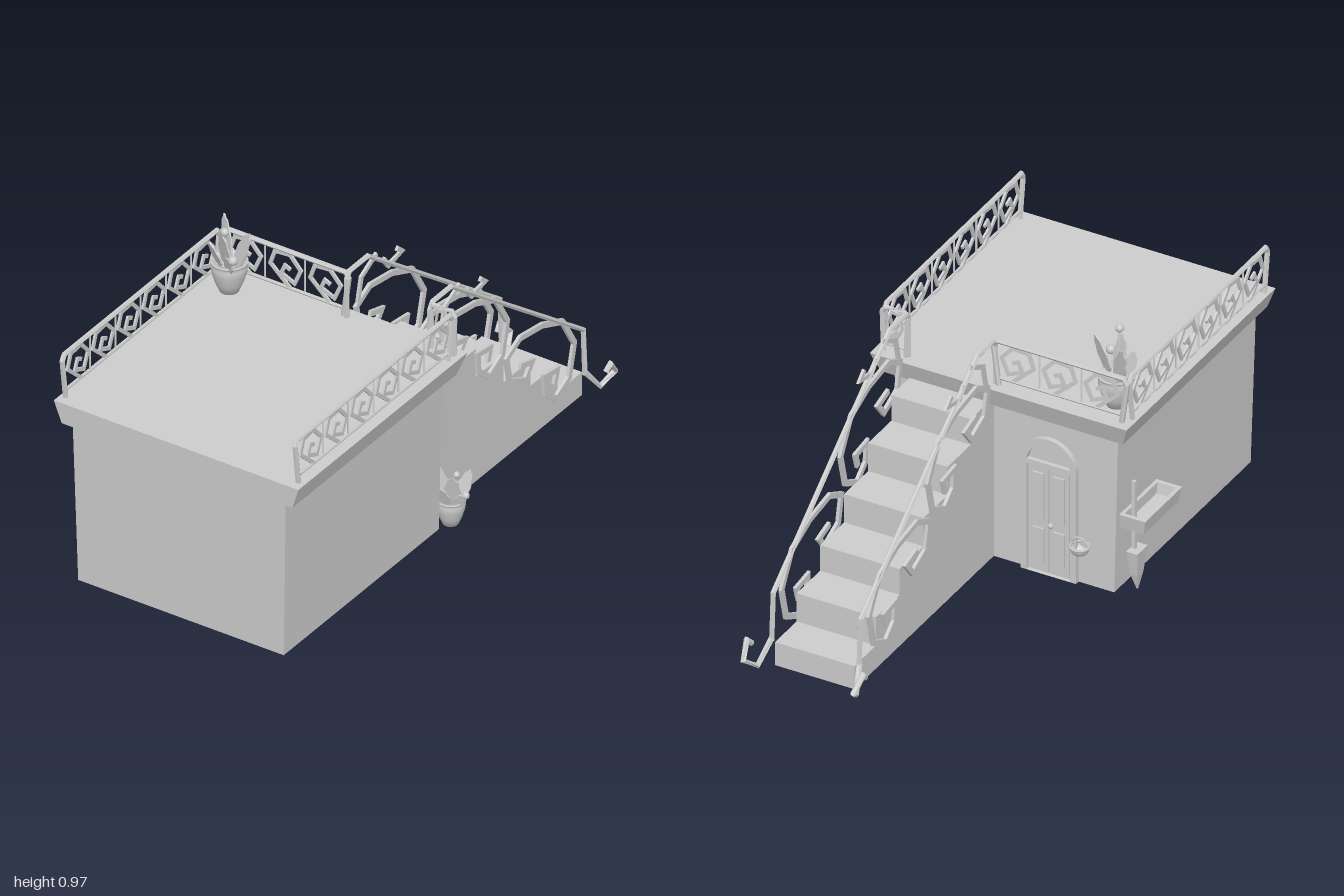
import * as THREE from 'three';

const mat = new THREE.MeshStandardMaterial({ color: 0xcccccc, side: THREE.DoubleSide });
const flat = new THREE.MeshStandardMaterial({ color: 0xcccccc, side: THREE.DoubleSide, flatShading: true });

function mesh(name, geo, parent, pos = [0, 0, 0], material = mat) {
  const m = new THREE.Mesh(geo, material);
  m.name = name;
  m.position.set(...pos);
  parent.add(m);
  return m;
}

function group(name, parent, pos = [0, 0, 0], turn = 0) {
  const g = new THREE.Group();
  g.name = name;
  g.position.set(...pos);
  g.rotation.y = turn;
  parent.add(g);
  return g;
}

function faces(pts, idx) {
  const g = new THREE.BufferGeometry();
  g.setAttribute('position', new THREE.Float32BufferAttribute(pts.flat(), 3));
  g.setIndex(idx);
  const out = g.toNonIndexed();
  out.computeVertexNormals();
  return out;
}

// Four-sided block between two rectangles [x0, x1, z0, z1]
function frustum(y0, a, y1, b, bottom = true) {
  const ring = (y, [x0, x1, z0, z1]) => [[x0, y, z0], [x1, y, z0], [x1, y, z1], [x0, y, z1]];
  const idx = [4, 7, 6, 4, 6, 5];
  for (let i = 0; i < 4; i++) {
    const j = (i + 1) % 4;
    idx.push(i, i + 4, j + 4, i, j + 4, j);
  }
  if (bottom) idx.push(0, 1, 2, 0, 2, 3);
  return faces([...ring(y0, a), ...ring(y1, b)], idx);
}

// Flat mitred band along a 2D polyline
function strip(points, width, depth) {
  const p = points.map(q => new THREE.Vector2(...q));
  const left = [], right = [];
  p.forEach((c, i) => {
    const d0 = (i ? c.clone().sub(p[i - 1]) : p[1].clone().sub(c)).normalize();
    const d1 = (i < p.length - 1 ? p[i + 1].clone().sub(c) : d0.clone()).normalize();
    const n = new THREE.Vector2(-d0.y - d1.y, d0.x + d1.x).normalize();
    const k = width / 2 / Math.max(0.55, n.dot(new THREE.Vector2(-d0.y, d0.x)));
    left.push(c.clone().addScaledVector(n, k));
    right.unshift(c.clone().addScaledVector(n, -k));
  });
  const g = new THREE.ExtrudeGeometry(new THREE.Shape([...left, ...right]), { depth, bevelEnabled: false });
  return g.translate(0, 0, -depth / 2);
}

// Mitred bar along a 3D polyline
function bar(points, r, sides = 6) {
  const p = points.map(q => new THREE.Vector3(...q));
  const verts = [], idx = [];
  const ref = new THREE.Vector3(0.05, 0.03, 1);
  if (Math.abs(p[0].x - p[p.length - 1].x) < 0.1) ref.set(1, 0.03, 0.05);
  p.forEach((c, i) => {
    const t = new THREE.Vector3();
    if (i) t.add(c.clone().sub(p[i - 1]).normalize());
    if (i < p.length - 1) t.add(p[i + 1].clone().sub(c).normalize());
    t.normalize();
    const u = ref.clone().addScaledVector(t, -ref.dot(t)).normalize();
    const v = t.clone().cross(u);
    for (let s = 0; s < sides; s++) {
      const a = s / sides * Math.PI * 2;
      verts.push(c.clone().addScaledVector(u, r * Math.cos(a)).addScaledVector(v, r * Math.sin(a)).toArray());
      if (!i) continue;
      const b = (i - 1) * sides, n = (s + 1) % sides;
      idx.push(b + s, b + n, b + sides + n, b + s, b + sides + n, b + sides + s);
    }
  });
  for (let s = 1; s < sides - 1; s++) {
    const e = (p.length - 1) * sides;
    idx.push(0, s + 1, s, e, e + s, e + s + 1);
  }
  return faces(verts, idx);
}

const SPIRAL = [[.02, -.072], [-.058, 0], [-.04, .053], [.02, .058], [.063, .01], [.038, -.048], [-.015, -.025], [0, .01], [.022, 0]];

// Roof railing running along its own x axis
function railing(parent, pos, turn, length, panels) {
  const g = group('roofRailing', parent, pos, turn);
  const L = length, lean = Math.min(.02, L * .05);
  mesh('handrail', bar([[lean, 0, 0], [0, .15, 0], [.012, .17, 0], [L - .012, .17, 0], [L, .15, 0], [L - lean, 0, 0]], .01), g, undefined, flat);
  mesh('lowerRail', bar([[lean, .028, 0], [L - lean, .028, 0]], .006), g, undefined, flat);
  const pitch = (L - .03) / panels;
  for (let i = 0; i < panels; i++) {
    const x = .015 + pitch * (i + .5);
    const s = mesh('spiralPanel', strip(SPIRAL, .013, .008), g, [x, .1, 0]);
    s.scale.x = Math.min(1, pitch / .135);
    if (i) mesh('divider', bar([[x - pitch / 2, .028, 0], [x - pitch / 2, .17, 0]], .004, 4), g, undefined, flat);
  }
}

const SCROLL = [[.09, .63], [.16, .61], [.12, .56], [.03, .60], [.01, .70], [.09, .74], [.22, .72], [.34, .67],
  [.41, .55], [.38, .43], [.30, .39], [.24, .44], [.235, .51], [.31, .50], [.295, .45]];

// Sloping handrail with scrolls; side is -1 or 1, the direction of the flared end
function stairRail(parent, x, side) {
  const g = group('stairRailing', parent);
  const f = d => x + side * d;
  mesh('stairHandrail', bar([[x, .69, .045], [x, .84, .045], [x, .862, .03], [x, .862, -.08], [x, .27, -.86], [x, .09, -.87]], .01), g, undefined, flat);
  mesh('railEndCurl', bar([[x, .1, -.868], [f(.02), .018, -.93], [f(.043), .06, -.985], [f(.055), .115, -.94], [f(.05), .09, -.918]], .011), g, undefined, flat);
  const s = group('scrollwork', g, [x, 0, 0], Math.PI / 2);
  for (const k of [0, 1])
    mesh('scroll', strip(SCROLL.map(([u, y]) => [u + k * .395, y - k * .3]), .02, .012), s);
  mesh('upperBrace', strip([[.015, .69], [.04, .80], [.13, .845]], .016, .01), s);
  mesh('leaf', strip([[.17, .8], [.2, .76], [.28, .775], [.25, .8]], .018, .01), s);
}

// Scalloped cactus pad growing up from its base
function pad(len, wid) {
  const pts = [];
  for (let i = 0; i < 32; i++) {
    const a = i / 32 * Math.PI * 2, r = 1 + .06 * Math.cos(a * 8);
    pts.push(new THREE.Vector2(Math.sin(a) * r * wid / 2 * (1 - .25 * Math.cos(a + Math.PI)), len / 2 - Math.cos(a) * r * len / 2));
  }
  return new THREE.ExtrudeGeometry(new THREE.Shape(pts), { depth: .006, bevelEnabled: false });
}

function pottedCactus(parent, pos, turn, scale) {
  const g = group('pottedCactus', parent, pos, turn);
  g.scale.setScalar(scale);
  const profile = [[0, 0], [.033, 0], [.048, .035], [.06, .075], [.062, .1], [.056, .108], [.064, .112], [.064, .118], [.05, .118], [.045, .1], [0, .1]];
  mesh('pot', new THREE.LatheGeometry(profile.map(p => new THREE.Vector2(...p)), 20), g);
  // x, y, z, length, width, sideways tilt, forward tilt
  const pads = [[-.015, .1, -.01, .16, .058, .35, -.1], [.01, .1, .01, .15, .07, -.1, .2], [-.01, .1, .025, .1, .055, .1, .35],
    [.03, .11, -.01, .145, .055, -.3, -.2], [.03, .1, .02, .08, .045, -.5, .25]];
  for (const [x, y, z, l, w, rz, rx] of pads)
    mesh('cactusPad', pad(l, w), g, [x, y, z]).rotation.set(rx, 0, rz);
  for (const [x, y, z, r] of [[.04, .262, .04, .015], [.075, .165, .03, .017]]) {
    mesh('bud', new THREE.SphereGeometry(r, 10, 7), g, [x, y, z]);
    mesh('budStem', bar([[x * .5, .11, z * .5], [x, y, z]], .004, 5), g);
  }
}

function arch(half, height) {
  const s = new THREE.Shape();
  s.moveTo(-half, 0).lineTo(half, 0).lineTo(half, height - half);
  s.absarc(0, height - half, half, 0, Math.PI, false);
  return s.lineTo(-half, 0);
}

// Arched door, turned to face the back
function door(parent) {
  const g = group('door', parent, [-.155, 0, .062], Math.PI);
  const opt = depth => ({ depth, bevelEnabled: false, curveSegments: 10 });
  const frame = arch(.105, .53);
  frame.holes.push(arch(.082, .505));
  mesh('doorFrame', new THREE.ExtrudeGeometry(frame, opt(.02)), g);
  mesh('doorBacking', new THREE.ExtrudeGeometry(arch(.083, .506), opt(.005)), g);
  mesh('transom', new THREE.BoxGeometry(.165, .018, .02), g, [0, .425, .01]);
  for (const s of [-1, 1]) {
    mesh('doorLeaf', new THREE.BoxGeometry(.074, .405, .012), g, [s * .039, .21, .007]);
    for (const [y, h] of [[.11, .13], [.3, .18]])
      mesh('doorPanel', new THREE.BoxGeometry(.042, h, .008), g, [s * .039, y, .016]);
  }
  mesh('doorKnob', new THREE.SphereGeometry(.01, 8, 6), g, [.012, .2, .024]);
  // Small basket hanging beside the door
  const b = group('hangingBasket', g, [.125, .16, .03]);
  mesh('basket', new THREE.SphereGeometry(.035, 12, 6, 0, Math.PI * 2, Math.PI / 2, Math.PI / 2), b);
  mesh('basketRim', new THREE.TorusGeometry(.033, .005, 6, 14), b).rotation.x = Math.PI / 2;
  mesh('basketHandle', new THREE.TorusGeometry(.032, .004, 6, 12, Math.PI), b);
}

// Wall trough with a hanging trowel
function trough(parent) {
  const g = group('wallTrough', parent);
  const top = [-.5, -.4, .08, .33], low = [-.49, -.4, .09, .32];
  mesh('troughFloor', frustum(.24, low, .255, low), g);
  const wall = (a, b) => mesh('troughWall', frustum(.24, a, .295, b), g);
  wall([-.49, -.475, .09, .32], [-.5, -.485, .08, .33]);
  wall([-.415, -.4, .09, .32], [-.415, -.4, .08, .33]);
  wall([low[0], low[1], .09, .105], [top[0], top[1], .08, .095]);
  wall([low[0], low[1], .305, .32], [top[0], top[1], .315, .33]);
  mesh('trowelHandle', new THREE.BoxGeometry(.013, .265, .013), g, [-.437, .283, .12]);
  mesh('trowelBlade', frustum(.06, [-.46, -.433, .1, .14], .155, [-.468, -.426, .085, .155]), g);
  mesh('trowelTip', frustum(0, [-.451, -.446, .118, .122], .06, [-.46, -.433, .1, .14]), g);
}

function stairs(parent) {
  const g = group('stairs', parent);
  const heights = [.62, .52, .41, .30, .20, .09];
  const ends = [.095, .25, .412, .572, .73, .875];
  const line = [[-.06, .62]];
  heights.forEach((h, i) => line.push([ends[i], h], [ends[i], heights[i + 1] ?? 0]));
  const pts = [], idx = [];
  line.forEach(([u, y], i) => {
    pts.push([.06, y, -u], [.36, y, -u]);
    if (i) idx.push(2 * i - 2, 2 * i - 1, 2 * i + 1, 2 * i - 2, 2 * i + 1, 2 * i);
  });
  mesh('steps', faces(pts, idx), g);
  const side = new THREE.ShapeGeometry(new THREE.Shape([...line, [-.06, 0]].map(p => new THREE.Vector2(...p))));
  for (const x of [.06, .36]) mesh('stairSide', side, g, [x, 0, 0]).rotation.y = Math.PI / 2;
}

export function createModel() {
  const model = new THREE.Group();
  model.name = 'terraceHouse';
  mesh('walls', frustum(0, [-.395, .42, .06, .975], .615, [-.41, .435, .06, .985], false), model);
  mesh('roofSlab', frustum(.61, [-.445, .47, .03, .998], .69, [-.475, .495, 0, 1]), model);
  stairs(model);
  // Roof railings: both sides and the two back pieces
  for (const x of [-.455, .468]) railing(model, [x, .69, .98], Math.PI / 2, .925, 6);
  railing(model, [-.455, .69, .04], 0, .505, 3);
  railing(model, [.375, .69, .04], 0, .095, 1);
  stairRail(model, .045, -1);
  stairRail(model, .375, 1);
  door(model);
  trough(model);
  pottedCactus(model, [-.367, .69, .125], -.45, 1);
  pottedCactus(model, [.43, 0, .005], .25, .82);
  return model;
}
